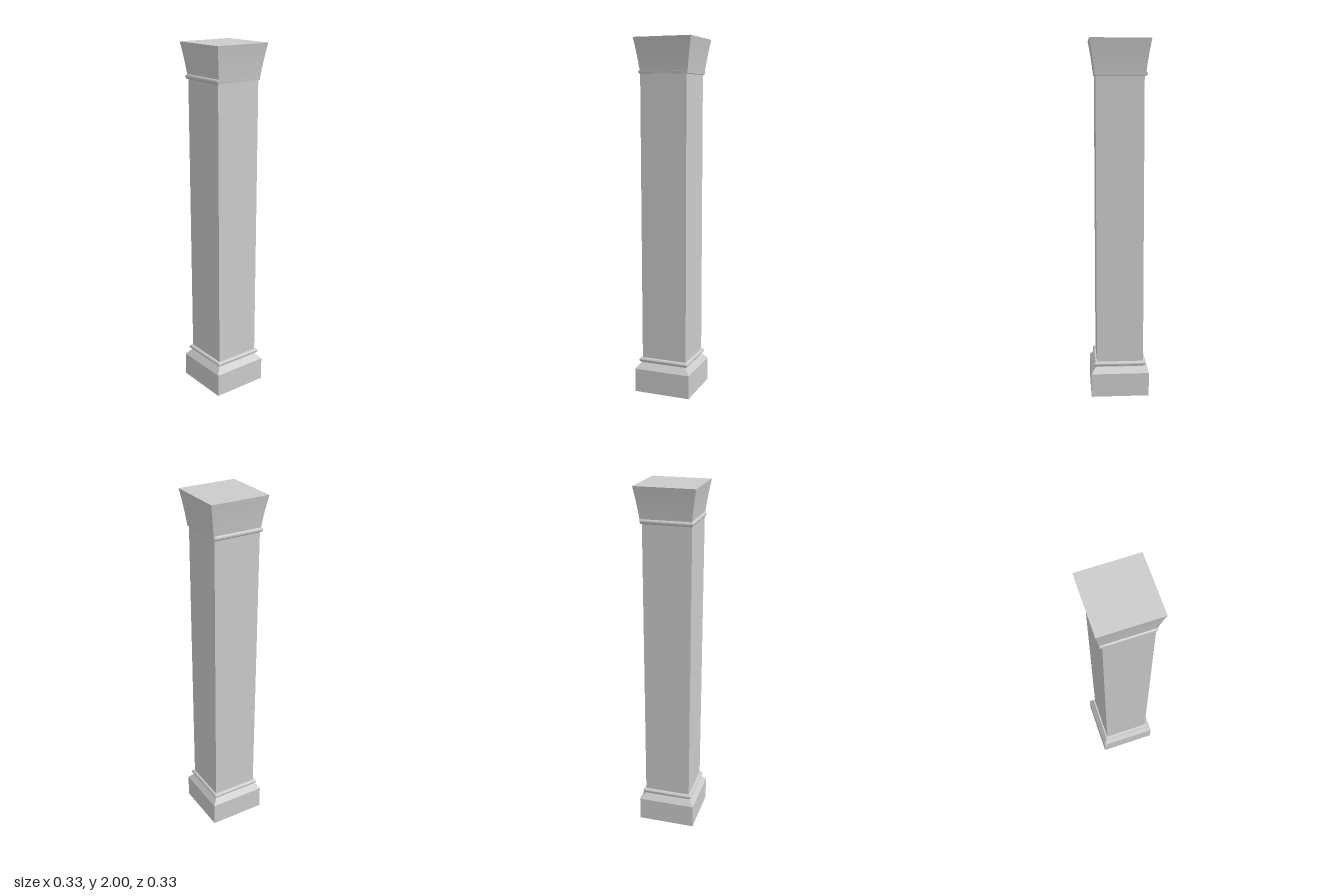
import * as THREE from 'three';
import { toCreasedNormals } from 'three/addons/utils/BufferGeometryUtils.js';

const material = new THREE.MeshStandardMaterial({ color: 0xcccccc });

// Square solid from a profile of [half width, height], listed bottom to top
function squareLoft(name, profile, x = 0, z = 0) {
  const closed = [[0, profile[0][1]], ...profile, [0, profile[profile.length - 1][1]]];
  const points = closed.map(([half, y]) => new THREE.Vector2(half * Math.SQRT2, y));
  const geometry = new THREE.LatheGeometry(points, 4);
  geometry.rotateY(Math.PI / 4);
  const mesh = new THREE.Mesh(toCreasedNormals(geometry, 0.6), material);
  mesh.name = name;
  mesh.position.set(x, 0, z);
  return mesh;
}

// Half-round moulding running around the square
function roundProfile(inner, bulge, y, radius, steps = 8) {
  const profile = [];
  for (let i = 0; i <= steps; i++) {
    const a = -Math.PI / 2 + (Math.PI * i) / steps;
    profile.push([inner + bulge * Math.cos(a), y + radius * Math.sin(a)]);
  }
  return profile;
}

export function createModel() {
  const model = new THREE.Group();
  model.name = 'squareColumn';

  // Base block with sloping top
  model.add(squareLoft('plinth', [[0.164, 0], [0.164, 0.135], [0.136, 0.17]], -0.003, 0.003));

  // Thin neck and rounded ring at the foot of the shaft
  model.add(squareLoft('baseNeck', [[0.136, 0.165], [0.136, 0.178]], -0.002, 0.002));
  model.add(squareLoft('baseRing', roundProfile(0.134, 0.013, 0.186, 0.013), -0.002, 0.002));

  // Shaft, very slightly wider at the top on the -x side
  const shaft = squareLoft('shaft', [[0.132, 0.17], [0.132, 1.815]], -0.001, 0.002);
  const position = shaft.geometry.attributes.position;
  for (let i = 0; i < position.count; i++) {
    if (position.getX(i) < -0.1 && position.getY(i) > 1) position.setX(i, -0.137);
  }
  model.add(shaft);

  // Ring under the capital, set slightly towards the back
  model.add(squareLoft('capitalRing', roundProfile(0.13, 0.013, 1.817, 0.014), -0.004, -0.003));

  // Capital flaring upwards in a shallow hollow curve
  const flare = [];
  for (let i = 0; i <= 8; i++) {
    const t = i / 8;
    flare.push([0.137 + 0.022 * t + 0.0075 * t * t, 1.806 + 0.194 * t]);
  }
  model.add(squareLoft('capital', flare, 0.001, 0.001));

  return model;
}
